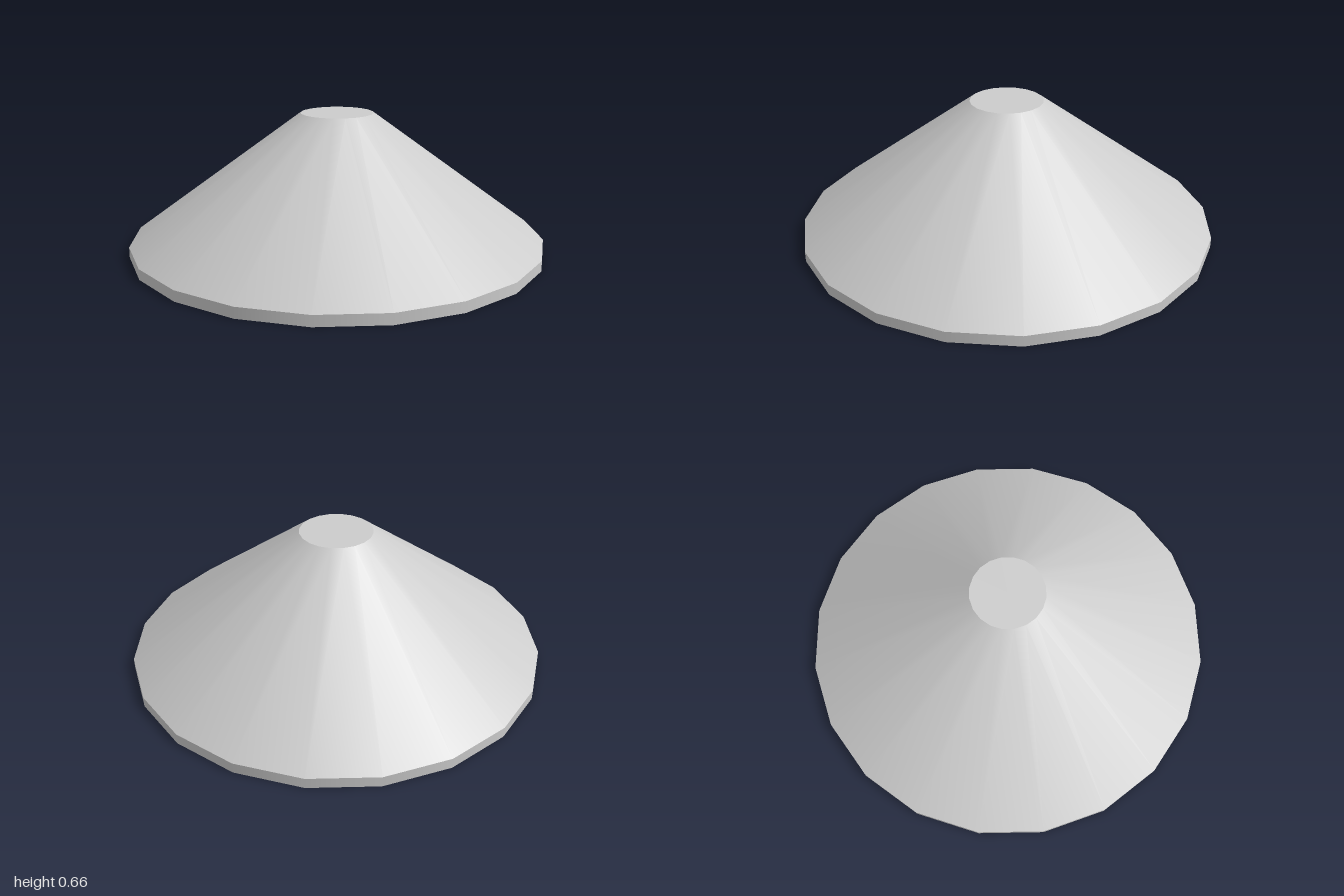
import * as THREE from 'three';

const SIDES = 20;
const RIM_HEIGHT = 0.05;
const HEIGHT = 0.655;
const TOP_RADIUS = 0.175;

export function createModel() {
  const group = new THREE.Group();
  group.name = 'truncatedCone';
  const material = new THREE.MeshStandardMaterial({ color: 0xcccccc });

  const add = (name, geometry, y, tilt = 0) => {
    const mesh = new THREE.Mesh(geometry, material);
    mesh.name = name;
    mesh.position.y = y;
    mesh.rotation.x = tilt;
    group.add(mesh);
  };

  // Thin upright rim around the foot
  add('rim', new THREE.CylinderGeometry(1, 1, RIM_HEIGHT, SIDES, 1, true), RIM_HEIGHT / 2);

  // Smooth sloping wall
  const slope = HEIGHT - RIM_HEIGHT;
  add('slope', new THREE.CylinderGeometry(TOP_RADIUS, 1, slope, SIDES, 1, true), RIM_HEIGHT + slope / 2);

  // Flat top and closed underside
  add('topCap', new THREE.CircleGeometry(TOP_RADIUS, SIDES), HEIGHT, -Math.PI / 2);
  add('baseCap', new THREE.CircleGeometry(1, SIDES), 0, Math.PI / 2);

  return group;
}
